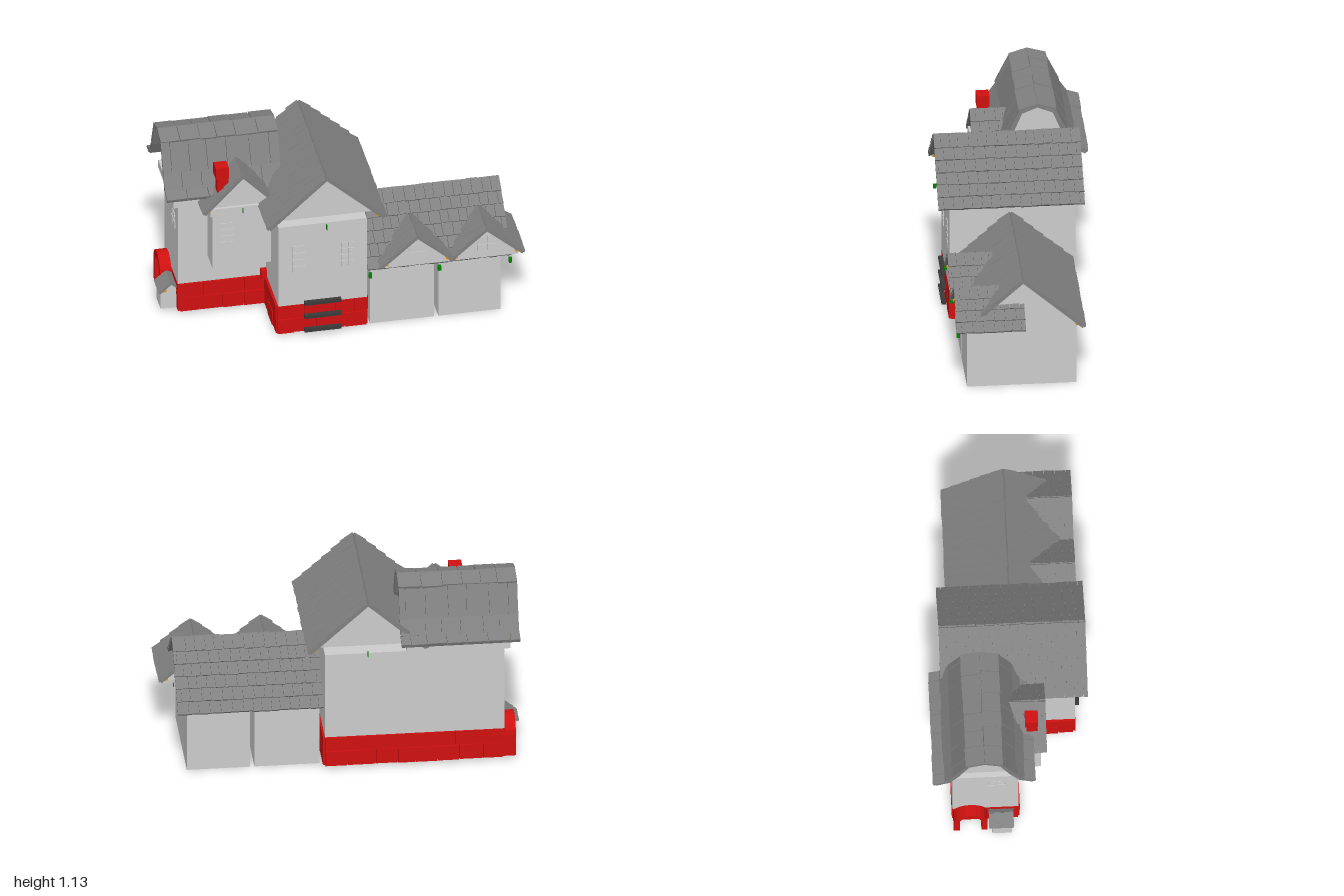
import * as THREE from 'three';
import { mergeGeometries } from 'three/addons/utils/BufferGeometryUtils.js';

export function createModel() {
  const mat = (name, color) => new THREE.MeshStandardMaterial({ name, color });
  const wall = mat('plaster', 0xcccccc), slate = mat('slate', 0x808080), stone = mat('red stone', 0xd01010);
  const green = mat('green', 0x008000), orange = mat('orange', 0xffa500), dark = mat('dark iron', 0x3a3a3a);
  const house = new THREE.Group();
  house.name = 'house';

  let seed = 7;
  const rnd = () => (seed = (seed * 16807) % 2147483647) / 2147483647;
  const jit = (a) => (rnd() - 0.5) * 2 * a;

  const add = (name, geo, material, parent = house) => {
    const m = new THREE.Mesh(geo, material);
    m.name = name;
    parent.add(m);
    return m;
  };
  // Box geometry given by its two extreme corners
  const boxGeo = (x0, x1, y0, y1, z0, z1) =>
    new THREE.BoxGeometry(x1 - x0, y1 - y0, z1 - z0).translate((x0 + x1) / 2, (y0 + y1) / 2, (z0 + z1) / 2);
  const box = (name, material, ...b) => add(name, boxGeo(...b), material);

  // Extruded outline running along z from z0 to z1
  const prism = (pts, z0, z1) => new THREE.ExtrudeGeometry(
    new THREE.Shape(pts.map((p) => new THREE.Vector2(...p))), { depth: z1 - z0, bevelEnabled: false }).translate(0, 0, z0);

  // One tiled slope: profile runs from ridge to eave in (outward, up), length lies along z
  function slope(profile, length, tileW, t) {
    const g = new THREE.Group();
    const tiles = [], under = [];
    profile.slice(1).forEach(([u1, v1], i) => {
      const [u0, v0] = profile[i];
      const len = Math.hypot(u1 - u0, v1 - v0), a = Math.atan2(v1 - v0, u1 - u0);
      const mu = (u0 + u1) / 2, mv = (v0 + v1) / 2;
      under.push(new THREE.BoxGeometry(len, t * 0.6, length * 0.99).rotateZ(a).translate(mu, mv, 0));
      let z = -length / 2;
      let w = tileW * (i % 2 ? 0.5 : 1);
      while (z < length / 2 - 0.001) {
        w = Math.min(w, length / 2 - z);
        if (length / 2 - z - w < tileW * 0.3) w = length / 2 - z;
        const lift = t * 0.75 + rnd() * t * 0.25;
        tiles.push(new THREE.BoxGeometry(len * 1.08 + rnd() * len * 0.12, t, w - t * 0.2)
          .rotateY(jit(0.02)).rotateZ(a + t * 0.6 / len)
          .translate(mu - Math.sin(a) * lift, mv + Math.cos(a) * lift, z + w / 2));
        z += w;
        w = tileW * (0.8 + rnd() * 0.4);
      }
    });
    add('tiles', mergeGeometries(tiles), slate, g);
    add('roofBoards', mergeGeometries(under), slate, g);
    const [eu, ev] = profile[profile.length - 1];
    add('eaveBatten', new THREE.BoxGeometry(0.016, 0.01, length * 0.94).translate(eu - 0.03, ev + 0.012, 0), orange, g);
    return g;
  }
  // Pair of slopes about a ridge; turn = PI/2 lays the ridge along x
  function roof(name, profile, length, tileW, t, x, z, turn = 0) {
    const g = new THREE.Group();
    g.name = name;
    for (const side of [0, Math.PI]) {
      const s = slope(profile, length, tileW, t);
      s.name = side ? 'slopeB' : 'slopeA';
      s.rotation.y = side;
      g.add(s);
    }
    g.position.set(x, 0, z);
    g.rotation.y = turn;
    house.add(g);
  }
  const straight = (w, top, eave, rows) =>
    Array.from({ length: rows + 1 }, (_, i) => [w * i / rows, top + (eave - top) * i / rows]);

  // Plinth of two rough courses of blocks around a solid core
  function plinth(name, x0, x1, z0, z1) {
    const parts = [boxGeo(x0, x1, 0.02, 0.2, z0, z1)];
    for (const [y0, y1] of [[0.018, 0.108], [0.112, 0.198]]) {
      const run = (a, b, place) => {
        let p = a;
        while (p < b - 0.001) {
          let e = p + 0.1 + rnd() * 0.08;
          if (b - e < 0.05) e = b;
          place(p + 0.002, e - 0.002, 0.006 + rnd() * 0.008);
          p = e;
        }
      };
      run(x0, x1, (a, b, d) => parts.push(boxGeo(a, b, y0, y1, z1 - 0.01, z1 + d), boxGeo(a, b, y0, y1, z0 - d, z0 + 0.01)));
      run(z0, z1, (a, b, d) => parts.push(boxGeo(x0 - d, x0 + 0.01, y0, y1, a, b), boxGeo(x1 - 0.01, x1 + d, y0, y1, a, b)));
    }
    add(name, mergeGeometries(parts), stone);
  }

  // Main block
  plinth('mainPlinth', -0.4, 0.11, -0.335, 0.36);
  box('mainWalls', wall, -0.395, 0.11, 0.2, 0.727, -0.34, 0.37);
  add('mainGable', prism([[-0.42, 0.777], [0.16, 0.777], [-0.13, 1.045]], -0.34, 0.38), wall);
  roof('mainRoof', straight(0.325, 1.052, 0.757, 6), 0.825, 0.055, 0.014, -0.13, 0.028);
  for (const z of [0.43, 0.03, -0.37]) box('mainBracket', green, -0.132, -0.128, 0.72, 0.75, z - 0.009, z + 0.009);
  for (const y of [0.037, 0.127, 0.215]) box('frontBar', dark, -0.25, -0.04, y - 0.01, y + 0.01, 0.375, 0.4);

  // Left wing with flared roof
  plinth('wingPlinth', -0.89, -0.4, -0.335, 0.03);
  box('wingWalls', wall, -0.9, -0.39, 0.2, 0.73, -0.34, 0.03);
  box('wingCornice', wall, -0.93, -0.35, 0.728, 0.777, -0.37, 0.06);
  const bell = [[0, 1.112], [0.09, 1.075], [0.15, 0.93], [0.2, 0.84], [0.272, 0.805]];
  const inner = bell.slice(0, 4).map(([u, v]) => [u * 0.95, v - 0.012]);
  const half = [...inner, [0.19, 0.777]];
  const outline = [...half.slice(1).map(([u, v]) => [-u, v]).reverse(), ...half].reverse();
  add('wingGable', prism(outline, -0.9, -0.37).rotateY(Math.PI / 2).translate(0, 0, -0.16), wall);
  roof('wingRoof', bell, 0.67, 0.112, 0.016, -0.645, -0.163, Math.PI / 2);
  box('wingQuoin', stone, -0.43, -0.398, 0.19, 0.25, 0.035, 0.07);

  // Projecting bay with its own gable, and chimney
  box('bayWalls', wall, -0.73, -0.39, 0.37, 0.73, 0, 0.165);
  box('bayCornice', wall, -0.745, -0.35, 0.728, 0.777, -0.1, 0.19);
  add('bayGable', prism([[-0.745, 0.777], [-0.375, 0.777], [-0.56, 0.965]], -0.08, 0.175), wall);
  roof('bayRoof', straight(0.215, 0.97, 0.745, 5), 0.29, 0.05, 0.012, -0.56, 0.052);
  box('bayBracket', green, -0.562, -0.558, 0.735, 0.765, 0.185, 0.2);
  box('chimneyShaft', stone, -0.697, -0.635, 0.78, 0.96, 0.085, 0.145);
  box('chimneyCap', stone, -0.707, -0.633, 0.95, 1.02, 0.077, 0.15);

  // Garage range on the right
  box('garageLeft', wall, 0.135, 0.5, 0, 0.36, -0.275, 0.34);
  box('garageRight', wall, 0.525, 0.88, 0, 0.36, -0.275, 0.34);
  box('garageCornice', wall, 0.12, 0.885, 0.36, 0.39, -0.29, 0.345);
  add('garageGable', prism([[-0.285, 0.388], [0.285, 0.388], [0, 0.665]], 0.115, 0.885)
    .rotateY(Math.PI / 2).translate(0, 0, 0.028), wall);
  roof('garageRoof', straight(0.335, 0.672, 0.372, 6), 0.82, 0.055, 0.013, 0.525, 0.028, Math.PI / 2);
  for (const x of [0.395, 0.79]) {
    add('dormerGable', prism([[x - 0.185, 0.388], [x + 0.185, 0.388], [x, 0.568]], 0.1, 0.385), wall);
    roof('dormerRoof', straight(0.203, 0.575, 0.4, 4), 0.39, 0.052, 0.012, x, 0.213);
  }
  for (const x of [0.125, 0.52, 0.925]) box('garageBracket', green, x - 0.009, x + 0.009, 0.342, 0.372, 0.385, 0.403);
  box('garageEndBracket', green, 0.921, 0.925, 0.37, 0.39, 0.018, 0.036);

  // Windows of small raised panes
  function paneWindow(x, y, z, w, h) {
    const panes = [];
    for (let c = 0; c < 2; c++) for (let r = 0; r < 4; r++) {
      const px = x + (c - 0.5) * w / 2, py = y + (r - 1.5) * h / 4;
      panes.push(boxGeo(px - w * 0.2, px + w * 0.2, py - h * 0.1, py + h * 0.1, z, z + 0.004));
    }
    add('paneWindow', mergeGeometries(panes), wall);
  }
  paneWindow(-0.645, 0.583, 0.165, 0.085, 0.165);
  paneWindow(-0.275, 0.505, 0.37, 0.085, 0.18);
  paneWindow(0, 0.505, 0.37, 0.08, 0.165);

  function archWindow(x, y, z, turn = 0) {
    const g = new THREE.Group();
    g.name = 'archWindow';
    for (const s of [-1, 1]) {
      const q = new THREE.Shape();
      q.moveTo(0, 0);
      q.absarc(0, 0, 0.045, s > 0 ? 0 : Math.PI / 2, s > 0 ? Math.PI / 2 : Math.PI, false);
      q.lineTo(0, 0);
      add('upperPane', new THREE.ExtrudeGeometry(q, { depth: 0.004, bevelEnabled: false, curveSegments: 6 })
        .translate(s * 0.005, 0.005, 0), wall, g);
      add('lowerPane', new THREE.BoxGeometry(0.045, 0.04, 0.004).translate(s * 0.0275, -0.025, 0.002), wall, g);
    }
    g.position.set(x, y, z);
    g.rotation.y = turn;
    house.add(g);
  }
  for (const x of [0.395, 0.79]) archWindow(x, 0.48, 0.385);
  archWindow(-0.9, 0.57, -0.09, -Math.PI / 2);

  // Stone arch with a dark door on the left end
  const arch = new THREE.Shape();
  arch.moveTo(0.095, 0.02);
  arch.lineTo(0.095, 0.155);
  arch.absarc(0, 0.155, 0.095, 0, Math.PI, false);
  arch.lineTo(-0.095, 0.02);
  arch.lineTo(-0.06, 0.02);
  arch.lineTo(-0.06, 0.155);
  arch.absarc(0, 0.155, 0.06, Math.PI, 0, true);
  arch.lineTo(0.06, 0.02);
  add('doorArch', new THREE.ExtrudeGeometry(arch, { depth: 0.075, bevelEnabled: false, curveSegments: 5 })
    .rotateY(-Math.PI / 2).translate(-0.89, 0, -0.24), stone);
  box('doorBar', dark, -0.935, -0.925, 0.13, 0.15, -0.3, -0.18);

  // Small lean-to hut beside the arch
  box('hutWalls', wall, -0.99, -0.88, 0.02, 0.13, -0.12, -0.01);
  add('hutGable', prism([[-0.99, 0.129], [-0.87, 0.129], [-0.93, 0.178]], -0.12, -0.01), wall);
  roof('hutRoof', straight(0.065, 0.182, 0.125, 3), 0.14, 0.035, 0.007, -0.93, -0.068);

  return house;
}
